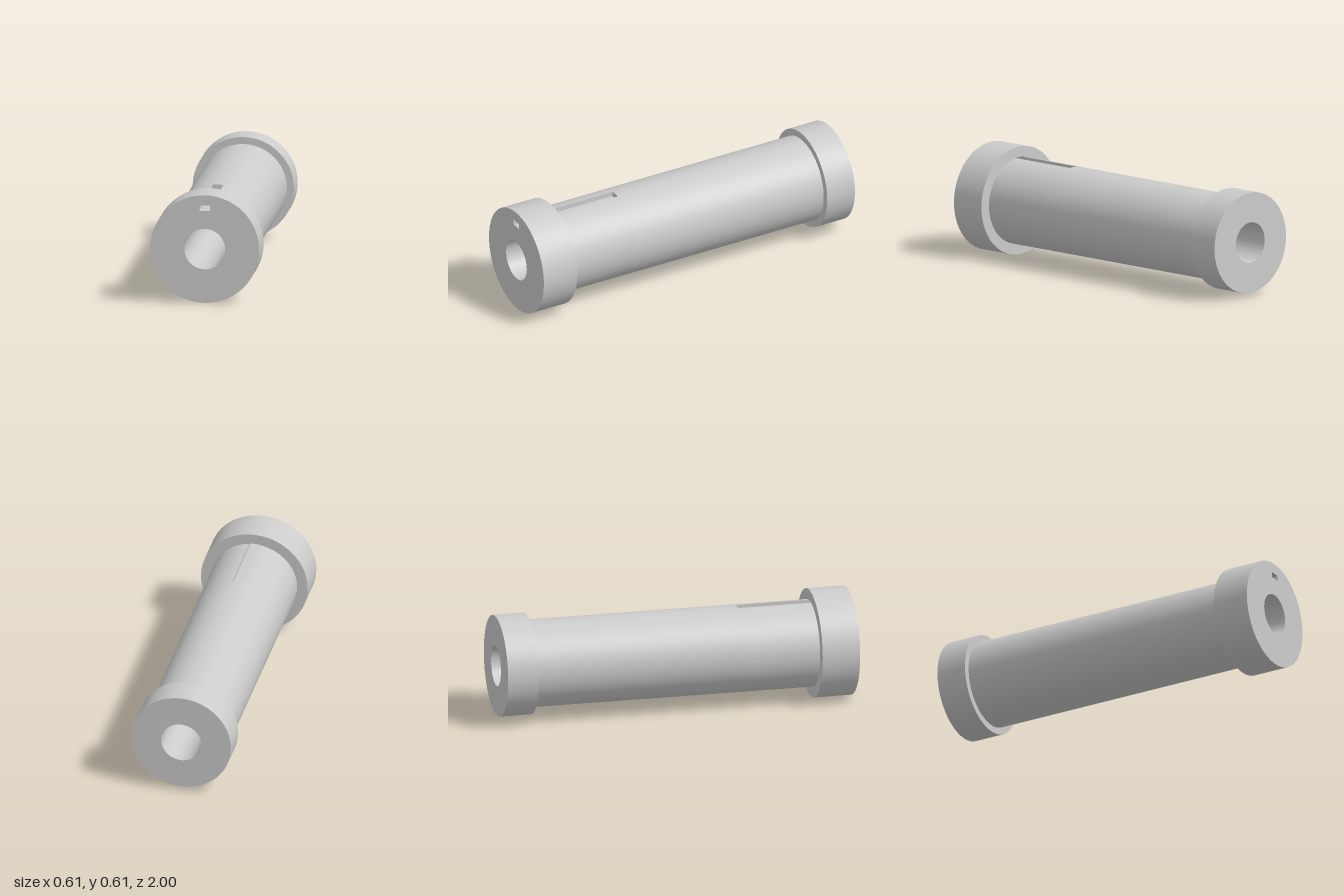
import * as THREE from 'three';
import { toCreasedNormals } from 'three/addons/utils/BufferGeometryUtils.js';

const AXIS_Y = 0.303, BORE = 0.114, BODY_R = 0.243;
const SLOT_HALF = 0.03, SLOT_LOW = 0.215, SLOT_HIGH = 0.245;

const circle = (Type, r) => new Type().absarc(0, 0, r, 0, Math.PI * 2, false);

// Disc outline with the central bore
function ring(r) {
  const shape = circle(THREE.Shape, r);
  shape.holes.push(circle(THREE.Path, BORE));
  return shape;
}

// Ring outline with the keyway cut into its top
function slottedRing(r) {
  const a = Math.asin(SLOT_HALF / r);
  const shape = new THREE.Shape();
  shape.absarc(0, 0, r, Math.PI / 2 + a, Math.PI * 2.5 - a, false);
  shape.lineTo(SLOT_HALF, SLOT_LOW);
  shape.lineTo(-SLOT_HALF, SLOT_LOW);
  shape.closePath();
  shape.holes.push(circle(THREE.Path, BORE));
  return shape;
}

export function createModel() {
  const group = new THREE.Group();
  const material = new THREE.MeshStandardMaterial({ color: 0xcccccc });

  // Extrude a section along z between two positions
  const add = (name, shape, z0, z1) => {
    const geometry = new THREE.ExtrudeGeometry(shape, { depth: z1 - z0, bevelEnabled: false, curveSegments: 64 });
    const mesh = new THREE.Mesh(toCreasedNormals(geometry, 0.5), material);
    mesh.name = name;
    mesh.position.set(0, AXIS_Y, z0);
    group.add(mesh);
  };

  // Front collar, with the keyway passing through as a window
  const collar = ring(0.303);
  collar.holes.push(new THREE.Path([
    [-SLOT_HALF, SLOT_LOW], [SLOT_HALF, SLOT_LOW], [SLOT_HALF, SLOT_HIGH], [-SLOT_HALF, SLOT_HIGH],
  ].map(([x, y]) => new THREE.Vector2(x, y))));
  add('frontCollar', collar, 0.787, 1);

  // Barrel: keyed front part, then plain part whose end closes the keyway
  add('keyedBarrel', slottedRing(BODY_R), 0.37, 0.787);
  add('plainBarrel', ring(BODY_R), -0.823, 0.37);

  // Smaller rear collar
  add('rearCollar', ring(0.282), -1, -0.823);

  return group;
}
